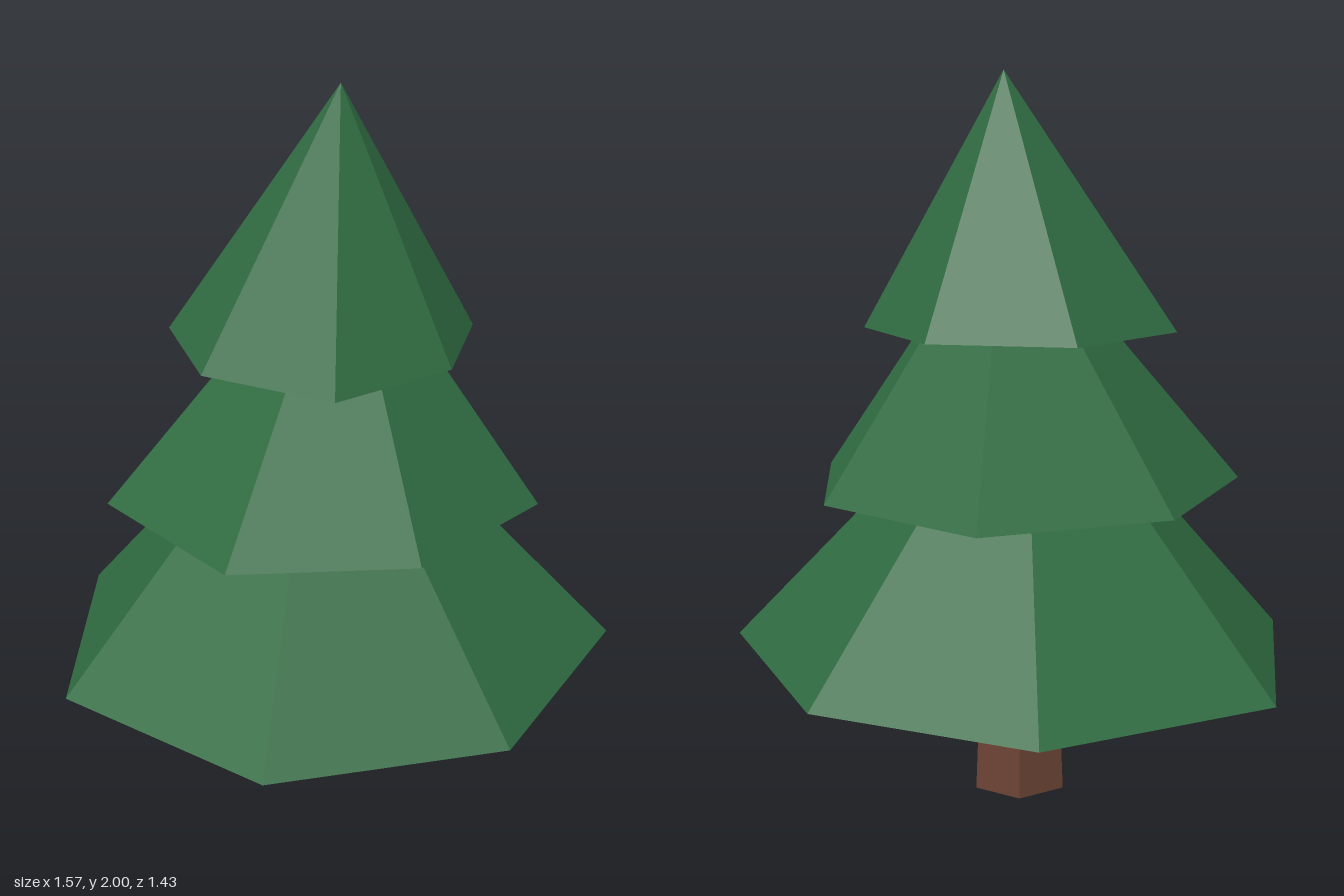
import * as THREE from 'three';

const foliage = new THREE.MeshStandardMaterial({ color: 0x2f6b41, flatShading: true });
foliage.name = 'foliageGreen';
const bark = new THREE.MeshStandardMaterial({ color: 0x6b4333, flatShading: true });
bark.name = 'barkBrown';

// Closed pyramid over an uneven ring of [x, z] corners, clockwise from above
function tier(name, ring, baseY, apex) {
  const base = ring.map(([x, z]) => [x, baseY, z]);
  const centre = [apex[0], baseY, apex[2]];
  const positions = [];
  base.forEach((corner, i) => {
    const next = base[(i + 1) % base.length];
    positions.push(...next, ...corner, ...apex); // sloping side
    positions.push(...corner, ...next, ...centre); // underside
  });
  const geometry = new THREE.BufferGeometry();
  geometry.setAttribute('position', new THREE.Float32BufferAttribute(positions, 3));
  geometry.computeVertexNormals();
  const mesh = new THREE.Mesh(geometry, foliage);
  mesh.name = name;
  return mesh;
}

export function createModel() {
  const tree = new THREE.Group();
  tree.name = 'pineTree';

  // Six-sided tapering trunk, its top hidden in the lowest branches
  const trunk = new THREE.Mesh(new THREE.CylinderGeometry(0.12, 0.143, 0.5, 6), bark);
  trunk.name = 'trunk';
  trunk.rotation.y = Math.PI / 6;
  trunk.position.set(0.012, 0.25, -0.025);
  tree.add(trunk);

  // Three stacked seven-sided branch tiers
  tree.add(tier('lowerBranches', [
    [-0.395, -0.635], [0.23, -0.72], [0.785, -0.33], [0.665, 0.35],
    [0.12, 0.715], [-0.535, 0.555], [-0.785, -0.09],
  ], 0.4, [-0.018, 1.29, -0.045]));
  tree.add(tier('middleBranches', [
    [-0.198, -0.595], [0.31, -0.525], [0.6, -0.11], [0.41, 0.35],
    [-0.04, 0.56], [-0.505, 0.31], [-0.543, -0.208],
  ], 0.89, [0.055, 1.66, -0.03]));
  tree.add(tier('topBranches', [
    [0.03, -0.463], [0.35, -0.275], [0.392, 0.078], [0.19, 0.392],
    [-0.19, 0.345], [-0.425, 0.05], [-0.33, -0.33],
  ], 1.325, [0.03, 2, -0.073]));

  return tree;
}
